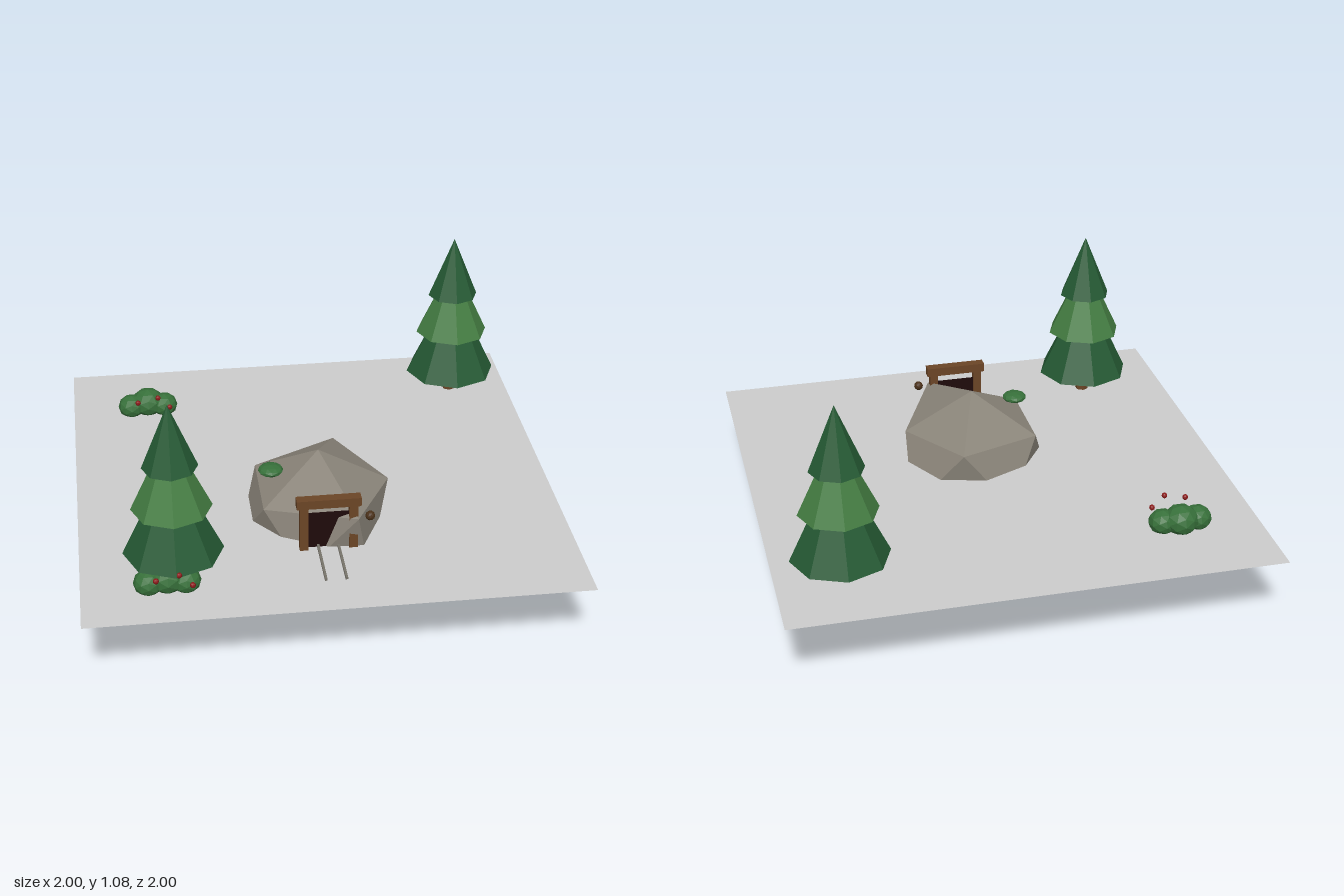
import * as THREE from 'three';

const mat = (name, color, opts = {}) => {
  const m = new THREE.MeshStandardMaterial({ color, flatShading: true, ...opts });
  m.name = name;
  return m;
};

export function createModel() {
  const model = new THREE.Group();
  model.name = 'mineScene';

  const groundGrey = mat('ground grey', 0xcccccc, { side: THREE.DoubleSide });
  const stone = mat('stone', 0x8b857a);
  const pineDark = mat('dark pine green', 0x255a34);
  const pineLight = mat('light pine green', 0x447d42);
  const wood = mat('wood', 0x6b4526);
  const darkWood = mat('dark wood', 0x4a3018);
  const leaf = mat('bush green', 0x37703a);
  const berryRed = mat('berry red', 0x8b1a1a);
  const shaft = mat('shaft darkness', 0x1f0a0a, { side: THREE.DoubleSide });
  const iron = mat('rail iron', 0x77736a);

  const GROUND = 0.328;

  const add = (parent, name, geometry, material, x, y, z) => {
    const mesh = new THREE.Mesh(geometry, material);
    mesh.name = name;
    mesh.position.set(x, y, z);
    parent.add(mesh);
    return mesh;
  };
  const group = (name, x = 0, y = 0, z = 0) => {
    const g = new THREE.Group();
    g.name = name;
    g.position.set(x, y, z);
    model.add(g);
    return g;
  };

  // Ground sheet
  add(model, 'ground', new THREE.PlaneGeometry(2, 2).rotateX(-Math.PI / 2), groundGrey, 0, GROUND, 0);

  // Boulder: an uneven icosahedron, two rings of five between two tips
  const upper = [[0.295, 0.43, 0.24], [0.118, 0.47, 0.6], [-0.246, 0.43, 0.42], [-0.246, 0.43, 0.067], [0.107, 0.45, -0.083]];
  const lower = [[0.17, 0.19, 0.55], [-0.1, 0.2, 0.54], [-0.33, 0.2, 0.24], [-0.1, 0.19, -0.1], [0.315, 0.178, 0.013]];
  const points = [[0, 0.59, 0.24], ...upper, ...lower, [0, 0, 0.24]];
  const faces = [];
  for (let i = 0; i < 5; i++) {
    const j = (i + 1) % 5;
    const u = 1 + i, un = 1 + j, l = 6 + i, ln = 6 + j;
    faces.push(0, un, u, u, un, l, l, un, ln, 11, l, ln);
  }
  const rock = new THREE.BufferGeometry();
  rock.setAttribute('position', new THREE.Float32BufferAttribute(points.flat(), 3));
  rock.setIndex(faces);
  const rockFlat = rock.toNonIndexed();
  rockFlat.computeVertexNormals();
  add(model, 'boulder', rockFlat, stone, 0, 0, 0);

  // Mine entrance: posts, lintel, dark opening, lamp and rails
  const mine = group('mineEntrance', 0, 0, 0.567);
  for (const s of [-1, 1]) {
    add(mine, 'doorPost', new THREE.BoxGeometry(0.035, 0.2, 0.035), wood, s * 0.1, 0.428, 0);
    add(mine, 'rail', new THREE.BoxGeometry(0.01, 0.01, 0.26), iron, s * 0.041, 0.335, 0.11);
  }
  add(mine, 'lintel', new THREE.BoxGeometry(0.26, 0.038, 0.042), wood, 0, 0.543, 0);
  add(mine, 'opening', new THREE.PlaneGeometry(0.17, 0.164), shaft, 0, 0.41, -0.005);
  add(mine, 'lamp', new THREE.IcosahedronGeometry(0.02, 1), darkWood, 0.167, 0.47, 0.01);

  // Pine trees: three stacked eight-sided cones on a trunk
  const tiers = [
    [0.2, 0.1, 0.42, pineDark],
    [0.16, 0.3, 0.34, pineLight],
    [0.11, 0.482, 0.27, pineDark],
  ];
  for (const [x, z] of [[-0.627, 0.66], [0.737, -0.69]]) {
    const tree = group('pineTree', x, GROUND, z);
    add(tree, 'trunk', new THREE.CylinderGeometry(0.028, 0.03, 0.16, 6), wood, 0, 0.08, 0);
    for (const [r, y, h, m] of tiers) {
      add(tree, 'foliage', new THREE.ConeGeometry(r, h, 8), m, 0, y + h / 2, 0);
    }
  }

  // Bushes: three clumps with berries on the front side
  const clumps = [[0, 0.368, -0.01, 0.073], [-0.075, 0.36, 0.005, 0.06], [0.072, 0.36, 0.005, 0.06]];
  const berries = [[-0.047, 0.415], [0.043, 0.435], [0.094, 0.385]];
  for (const [x, z] of [[-0.665, -0.64], [-0.659, 0.768]]) {
    const bush = group('berryBush', x, 0, z);
    for (const [cx, cy, cz, r] of clumps) {
      add(bush, 'leafClump', new THREE.IcosahedronGeometry(r, 1), leaf, cx, cy, cz).scale.y = 0.88;
    }
    for (const [bx, by] of berries) {
      add(bush, 'berry', new THREE.SphereGeometry(0.012, 8, 6), berryRed, bx, by, 0.081);
    }
  }

  // Flat tuft of moss beside the boulder top
  add(model, 'mossTuft', new THREE.IcosahedronGeometry(0.052, 1), leaf, -0.2, 0.526, 0.268).scale.y = 0.42;

  return model;
}
